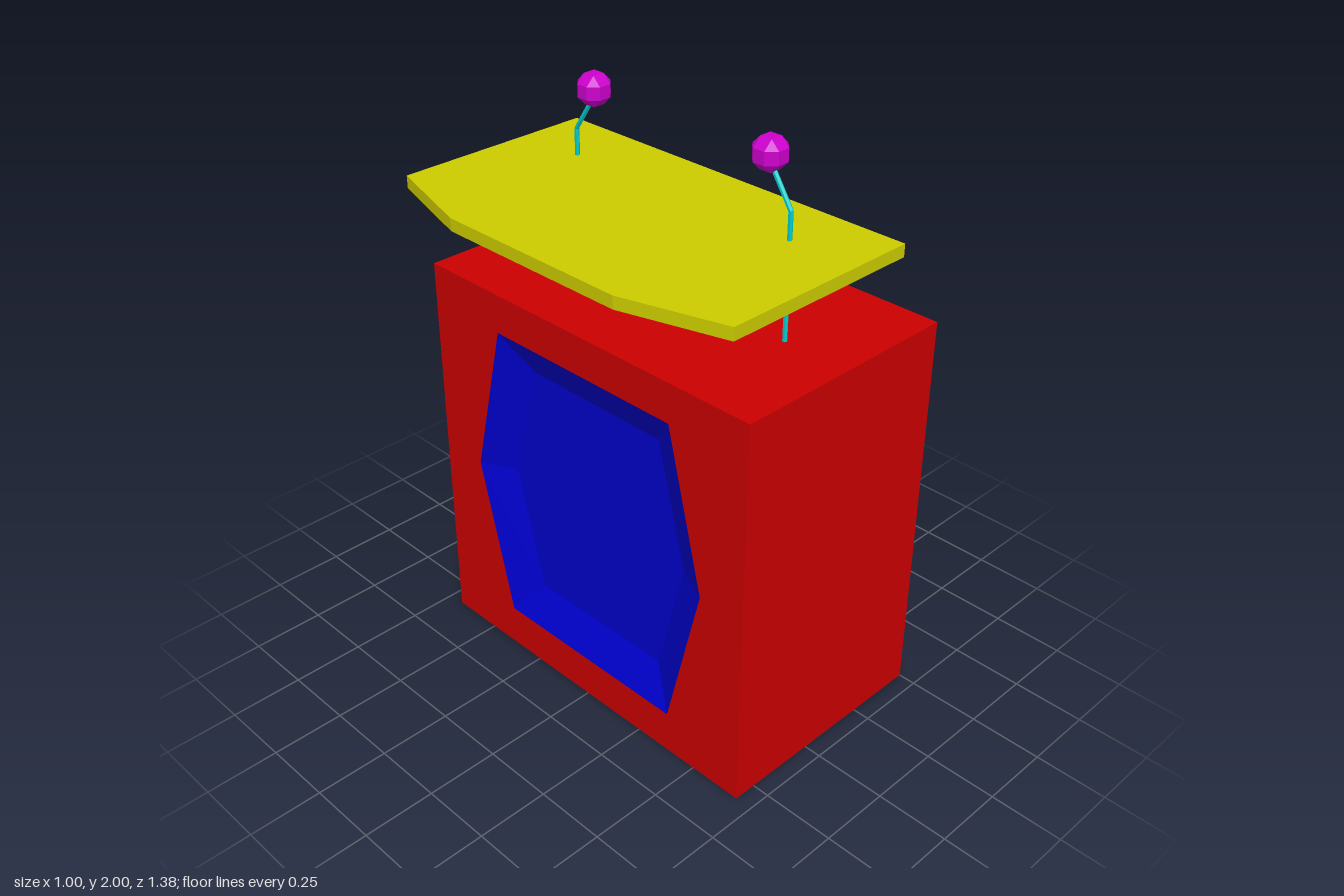
import * as THREE from 'three';
import { ConvexGeometry } from 'three/addons/geometries/ConvexGeometry.js';

const paint = (color) => new THREE.MeshStandardMaterial({ color, flatShading: true, side: THREE.DoubleSide });
const RED = paint(0xcc0000), YELLOW = paint(0xcccc00), BLUE = paint(0x0000cc);
const CYAN = paint(0x00cccc), MAGENTA = paint(0xcc00cc);

// Flat-faced geometry from convex polygons of [x, y, z] corners
function polygons(faces) {
  const pos = [];
  for (const f of faces)
    for (let i = 1; i < f.length - 1; i++) pos.push(...f[0], ...f[i], ...f[i + 1]);
  const g = new THREE.BufferGeometry();
  g.setAttribute('position', new THREE.Float32BufferAttribute(pos, 3));
  g.computeVertexNormals();
  return g;
}

function add(parent, name, geometry, material) {
  const mesh = new THREE.Mesh(geometry, material);
  mesh.name = name;
  parent.add(mesh);
  return mesh;
}

// Quads joining two loops of equal length
const bridge = (a, b, skip = -1) => a.map((p, i) => {
  const j = (i + 1) % a.length;
  return [p, a[j], b[j], b[i]];
}).filter((_, i) => i !== skip);

const W = 0.69, H = 1.385, XF = 0.5, XB = -0.33, CELL_BACK = 0.125;
const flip = (p) => [p[0], p[1], -p[2]];

// Hexagon in (z, y), symmetric about z = 0
const hexagon = (corner, middle, low, high) =>
  [[corner, low], [middle, 0.7], [corner, high], [-corner, high], [-middle, 0.7], [-corner, low]];

function cabinet() {
  const g = new THREE.Group();
  g.name = 'cabinet';

  // Top and two ends; the underside is open
  const end = [[XB, 0, W], [XF, 0, W], [XF, H, W], [XB, H, W]];
  add(g, 'cabinetShell', polygons([
    end, end.map(flip).reverse(),
    [[XB, H, W], [XF, H, W], [XF, H, -W], [XB, H, -W]],
  ]), RED);

  // Shelf side: the frame pinches inward to a set-back middle shelf
  const top = [XF, H, W], mid = [XF, 0.7, W], base = [XF, 0, W];
  const cellTop = [0.47, 1.3, 0.65], shelfTop = [0.37, 0.755, 0.58];
  const shelfLow = [0.37, 0.7, 0.58], cellLow = [0.47, 0.09, 0.65];
  const cheek = [mid, base, cellLow, shelfLow, shelfTop, cellTop, top];
  add(g, 'shelfFrame', polygons([
    cheek, cheek.map(flip).reverse(),
    [top, cellTop, flip(cellTop), flip(top)],
    [base, flip(base), flip(cellLow), cellLow],
    [shelfLow, flip(shelfLow), flip(shelfTop), shelfTop],
  ]), RED);

  // Two compartments; the lower one is open up into the hollow shelf
  const compartment = (low, high, skip) => {
    const front = [low, flip(low), flip(high), high];
    const back = front.map(([, y, z]) => [CELL_BACK, y, z]);
    return polygons([...bridge(front, back, skip), back]);
  };
  add(g, 'upperCompartment', compartment(shelfTop, cellTop), RED);
  add(g, 'lowerCompartment', compartment(cellLow, shelfLow, 2), RED);

  // Wall opposite the shelves, with a hexagonal opening
  const outer = hexagon(0.38, 0.516, 0.15, 1.25);
  const wall = new THREE.Shape([[-W, 0], [W, 0], [W, H], [-W, H]].map((p) => new THREE.Vector2(...p)));
  wall.holes.push(new THREE.Path(outer.map((p) => new THREE.Vector2(...p))));
  const wallGeometry = new THREE.ShapeGeometry(wall).rotateY(-Math.PI / 2).translate(XB, 0, 0);
  add(g, 'panelWall', wallGeometry, RED);

  // Recessed panel with sloping sides
  const rim = outer.map(([z, y]) => [XB, y, z]);
  const floor = hexagon(0.28, 0.39, 0.275, 1.125).map(([z, y]) => [XB + 0.06, y, z]);
  add(g, 'recessedPanel', polygons([...bridge(rim, floor), floor]), BLUE);
  return g;
}

// Counter board with two clipped corners, open underneath
function counter() {
  const outline = [[0.3, W], [0.3, -W], [-0.405, -W], [-0.505, -0.345], [-0.505, 0.345], [-0.405, W]];
  const at = (y) => outline.map(([x, z]) => [x, y, z]);
  return polygons([...bridge(at(1.668), at(1.71)), at(1.71)]);
}

// Straight rod between two points
function rod(a, b, radius) {
  const d = b.clone().sub(a);
  const g = new THREE.CylinderGeometry(radius, radius, d.length(), 6);
  g.applyQuaternion(new THREE.Quaternion().setFromUnitVectors(new THREE.Vector3(0, 1, 0), d.normalize()));
  return g.translate((a.x + b.x) / 2, (a.y + b.y) / 2, (a.z + b.z) / 2);
}

// Faceted ball with square faces on every axis
function ball(r) {
  const a = r * 0.42, pts = [];
  for (const x of [-1, 1]) for (const y of [-1, 1]) for (const z of [-1, 1])
    pts.push(new THREE.Vector3(x * r, y * a, z * a), new THREE.Vector3(x * a, y * r, z * a),
      new THREE.Vector3(x * a, y * a, z * r));
  return new ConvexGeometry(pts);
}

export function createModel() {
  const model = new THREE.Group();
  model.name = 'counterStand';
  model.add(cabinet());
  add(model, 'counterTop', counter(), YELLOW);

  // Pair of bent stalks with a ball on each
  for (const s of [1, -1]) {
    const stalk = new THREE.Group();
    stalk.name = s > 0 ? 'frontStalk' : 'backStalk';
    const path = [[1.38, 0.447], [1.8, 0.447], [1.93, 0.36]].map(([y, z]) => new THREE.Vector3(0.085, y, s * z));
    add(stalk, 'stalkPost', rod(path[0], path[1], 0.008), CYAN);
    add(stalk, 'stalkBend', rod(path[1], path[2], 0.008), CYAN);
    add(stalk, 'stalkBall', ball(0.05), MAGENTA).position.set(0.085, 1.95, s * 0.362);
    model.add(stalk);
  }
  return model;
}
